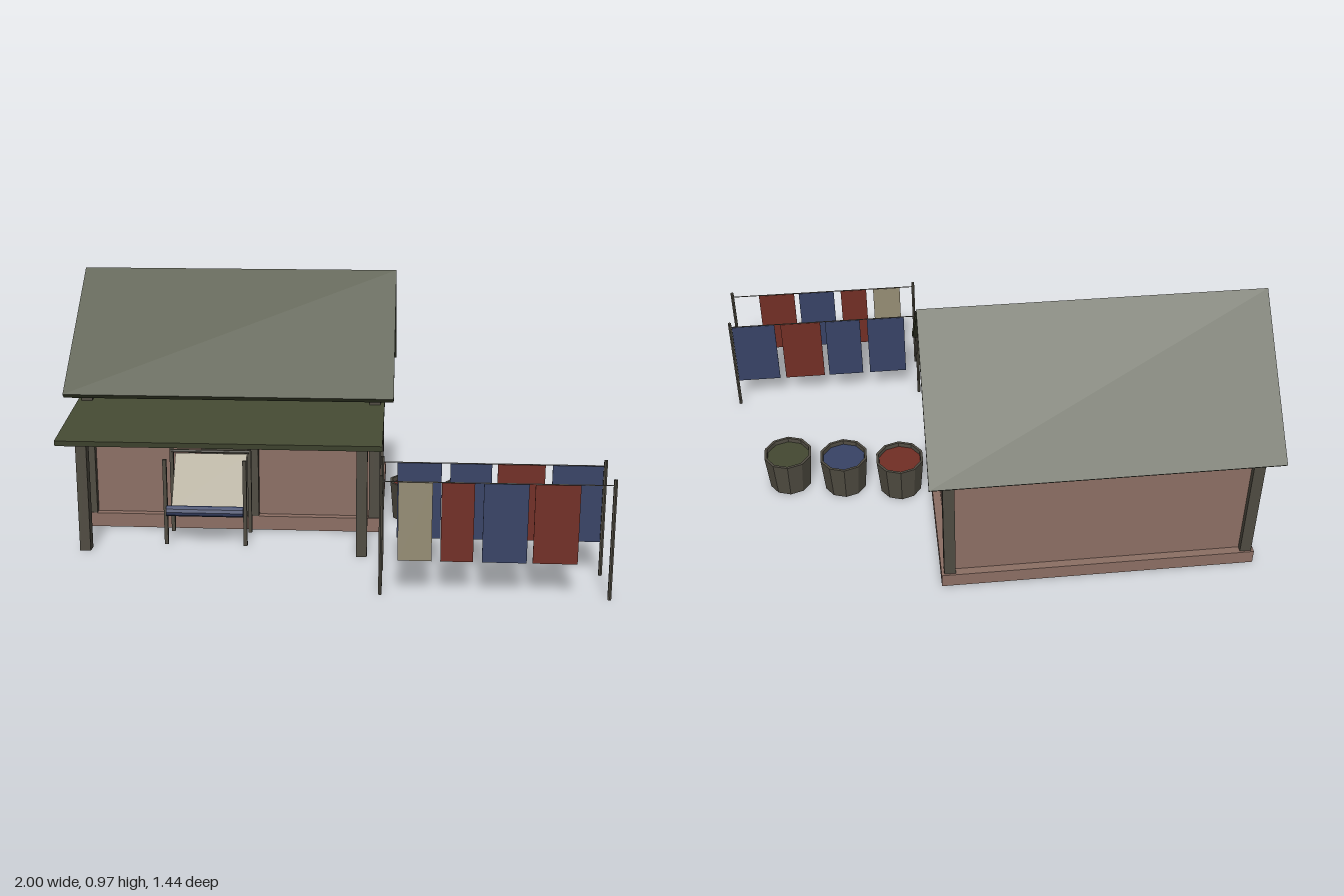
import * as THREE from 'three';

const mat = (name, color, side = THREE.FrontSide) =>
  Object.assign(new THREE.MeshStandardMaterial({ color, side, flatShading: true }), { name });

export function createModel() {
  const model = new THREE.Group();
  model.name = 'dyerHouse';

  const clay = mat('clay wall', 0x8c6f64);
  const thatch = mat('green roof', 0x444932);
  const wood = mat('weathered wood', 0x4f4b41);
  const red = mat('red dye', 0x722e25);
  const blue = mat('blue dye', 0x384366);
  const linen = mat('linen', 0x968d75, THREE.DoubleSide);

  const add = (name, geometry, material, parent = model) => {
    const mesh = new THREE.Mesh(geometry, material);
    mesh.name = name;
    parent.add(mesh);
    return mesh;
  };
  // Box given by its extents on each axis
  const box = (name, [x0, x1], [y0, y1], [z0, z1], material, parent) => {
    const mesh = add(name, new THREE.BoxGeometry(x1 - x0, y1 - y0, z1 - z0), material, parent);
    mesh.position.set((x0 + x1) / 2, (y0 + y1) / 2, (z0 + z1) / 2);
    return mesh;
  };
  // Side profile of [z, y] points swept along x
  const sweep = (name, points, [x0, x1], material) => {
    const shape = new THREE.Shape(points.map(([z, y]) => new THREE.Vector2(-z, y)));
    const geometry = new THREE.ExtrudeGeometry(shape, { depth: x1 - x0, bevelEnabled: false });
    geometry.rotateY(Math.PI / 2).translate(x0, 0, 0);
    return add(name, geometry, material);
  };
  // Round bar lying along x
  const bar = (name, r, x0, x1, y, z, material, parent, sides = 8) => {
    const geometry = new THREE.CylinderGeometry(r, r, x1 - x0, sides).rotateZ(Math.PI / 2);
    const mesh = add(name, geometry, material, parent);
    mesh.position.set((x0 + x1) / 2, y, z);
    return mesh;
  };

  // House body
  box('plinth', [-0.96, 0.21], [0, 0.055], [-0.66, 0.1], clay);
  sweep('walls', [[0.07, 0.02], [0.07, 0.58], [-0.28, 0.93], [-0.63, 0.58], [-0.63, 0.02]], [-0.93, 0.18], clay);
  for (const x of [-0.95, 0.158]) {
    for (const z of [-0.653, 0.053]) {
      box('cornerPost', [x, x + 0.042], [0.001, 0.585], [z, z + 0.042], wood);
    }
  }

  // Gabled roof and sloping porch roof
  sweep('mainRoof', [[-0.262, 0.971], [0.18, 0.552], [0.165, 0.536], [-0.262, 0.941], [-0.704, 0.521], [-0.719, 0.537]],
    [-1, 0.25], thatch);
  sweep('porchRoof', [[0.03, 0.52], [0.447, 0.446], [0.443, 0.426], [0.026, 0.499]], [-0.965, 0.215], thatch);
  for (const x of [-0.91, 0.12]) {
    box('porchPost', [x, x + 0.04], [0, 0.43], [0.33, 0.37], wood);
  }

  // Door and lintel
  box('door', [-0.49, -0.27], [0.055, 0.4], [0.06, 0.098], wood);
  box('lintel', [-0.515, -0.235], [0.4, 0.48], [0.06, 0.102], wood);

  // Loom on the porch
  const loom = new THREE.Group();
  loom.name = 'loom';
  model.add(loom);
  for (const x of [-0.607, -0.307]) {
    for (const z of [0.123, 0.27]) {
      box('loomPost', [x, x + 0.014], [0, 0.333], [z, z + 0.014], wood, loom);
    }
  }
  bar('warpBeam', 0.007, -0.6, -0.3, 0.325, 0.135, wood, loom);
  bar('breastBeam', 0.008, -0.6, -0.3, 0.135, 0.275, wood, loom);
  bar('clothRoll', 0.02, -0.595, -0.305, 0.135, 0.287, blue, loom, 10);
  const warp = add('warpThreads', new THREE.PlaneGeometry(0.275, 0.215), linen, loom);
  warp.position.set(-0.445, 0.228, 0.2);
  warp.rotation.x = -Math.atan2(0.115, 0.18);

  // Drying lines with hanging cloths: [start x, end x, material]
  const lines = [
    [0.717, [[0.275, 0.39, linen], [0.42, 0.53, red], [0.56, 0.71, blue], [0.73, 0.88, red]]],
    [0.495, [[0.27, 0.425, blue], [0.455, 0.6, blue], [0.62, 0.785, red], [0.81, 0.985, blue]]],
  ];
  for (const [z, cloths] of lines) {
    const line = new THREE.Group();
    line.name = 'dryingLine';
    model.add(line);
    for (const x of [0.217, 0.992]) {
      const pole = add('linePole', new THREE.CylinderGeometry(0.007, 0.007, 0.425, 6), wood, line);
      pole.position.set(x, 0.2125, z);
    }
    bar('rope', 0.002, 0.217, 0.992, 0.405, z, wood, line, 5);
    for (const [x0, x1, material] of cloths) {
      box('cloth', [x0, x1], [0.125, 0.403], [z - 0.002, z + 0.002], material, line);
    }
  }

  // Ten-sided dye tubs, open at the top
  const tubProfile = [[0, 0], [0.083, 0], [0.096, 0.15], [0.086, 0.15], [0.082, 0.1]]
    .map(([r, y]) => new THREE.Vector2(r, y));
  for (const [x, z, dye] of [[0.33, -0.1, red], [0.55, -0.063, blue], [0.77, -0.025, thatch]]) {
    const tub = new THREE.Group();
    tub.name = 'dyeTub';
    tub.position.set(x, 0, z);
    model.add(tub);
    add('staves', new THREE.LatheGeometry(tubProfile, 10), wood, tub);
    const liquid = add('dye', new THREE.CylinderGeometry(0.085, 0.085, 0.006, 10), dye, tub);
    liquid.position.y = 0.13;
  }

  return model;
}
